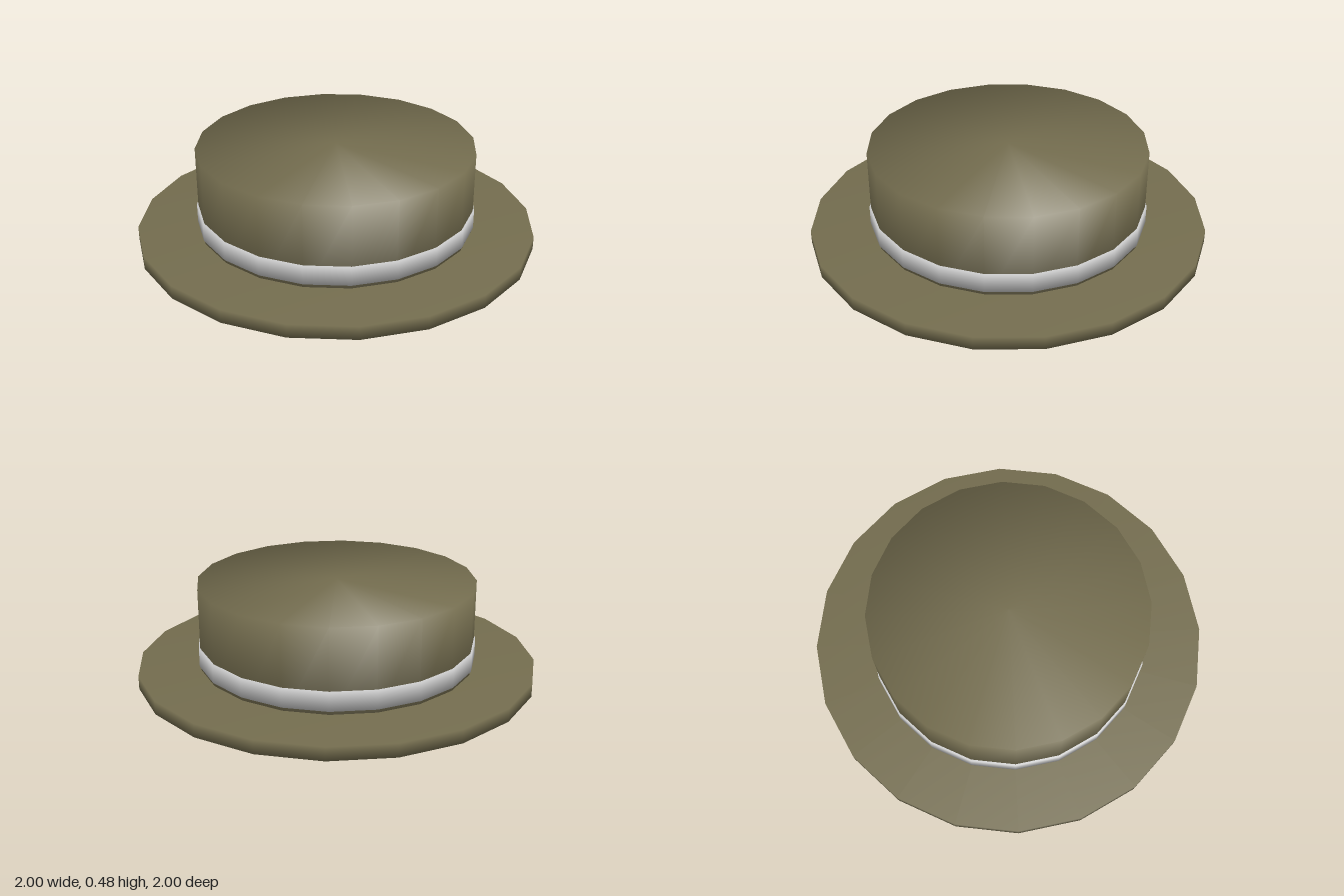
import * as THREE from 'three';
import { mergeVertices } from 'three/addons/utils/BufferGeometryUtils.js';

// 20-sided disc whose normals are smoothed over the rims as well as the side
function softCylinder(radius, bottom, top) {
  const raw = new THREE.CylinderGeometry(radius, radius, top - bottom, 20);
  raw.deleteAttribute('normal');
  raw.deleteAttribute('uv');
  const geometry = mergeVertices(raw);
  geometry.computeVertexNormals();
  geometry.translate(0, (bottom + top) / 2, 0);
  return geometry;
}

export function createModel() {
  const felt = new THREE.MeshStandardMaterial({ color: 0x736c4e });
  felt.name = 'olive felt';
  const ribbon = new THREE.MeshStandardMaterial({ color: 0xc8c8c8 });
  ribbon.name = 'pale grey ribbon';

  const hat = new THREE.Group();
  hat.name = 'hat';
  const parts = [
    ['brim', 1, 0, 0.067, felt],
    ['crown', 0.693, 0.03, 0.483, felt],
    ['hatBand', 0.7, 0.085, 0.18, ribbon],
  ];
  for (const [name, radius, bottom, top, material] of parts) {
    const mesh = new THREE.Mesh(softCylinder(radius, bottom, top), material);
    mesh.name = name;
    hat.add(mesh);
  }
  return hat;
}
